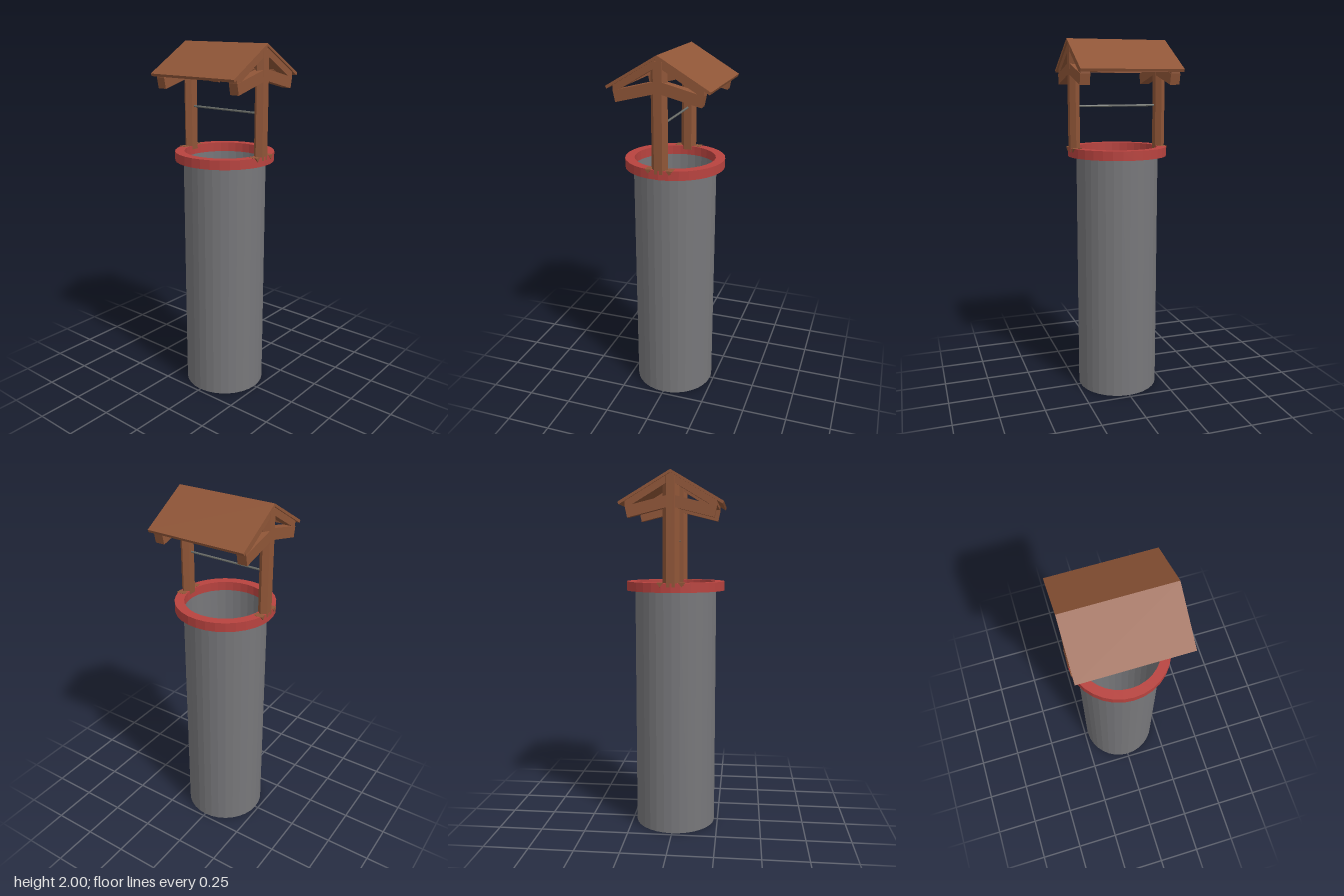
import * as THREE from 'three';

export function createModel() {
  const mat = (name, color, extra = {}) => {
    const m = new THREE.MeshStandardMaterial({ color, flatShading: true, ...extra });
    m.name = name;
    return m;
  };
  const wood = mat('brown wood', 0x8f5537);
  const stone = mat('grey stone', 0x77777a, { side: THREE.DoubleSide });
  const rim = mat('red rim', 0xb8433f);
  const metal = mat('dark metal', 0x6a6d68);

  const group = new THREE.Group();
  group.name = 'well';
  const add = (name, geometry, material) => {
    const mesh = new THREE.Mesh(geometry, material);
    mesh.name = name;
    group.add(mesh);
    return mesh;
  };

  // Side profile in (z, y), extruded along x and centred on cx
  const profile = (points, width, cx) => {
    const shape = new THREE.Shape(points.map(([z, y]) => new THREE.Vector2(z, y)));
    const g = new THREE.ExtrudeGeometry(shape, { depth: width, bevelEnabled: false });
    g.rotateY(-Math.PI / 2);
    g.translate(cx + width / 2, 0, 0);
    return g;
  };

  // Shaft: open tube with a closed floor
  const V = (x, y) => new THREE.Vector2(x, y);
  add('shaft', new THREE.LatheGeometry([V(0, 0), V(0.23, 0), V(0.23, 1.37)], 32), stone);

  // Rim ring around the mouth
  add('rim', new THREE.LatheGeometry(
    [V(0.225, 1.365), V(0.277, 1.365), V(0.277, 1.416), V(0.225, 1.416), V(0.225, 1.365)], 32), rim);

  // Roof: thin folded sheet
  add('roof', profile([
    [0, 2], [-0.277, 1.838], [-0.271, 1.824], [0, 1.985], [0.271, 1.824], [0.277, 1.838],
  ], 0.568, 0), wood);

  for (const side of [1, -1]) {
    const cx = side * 0.249;

    // Six-sided post, flat faces towards the sides
    const post = new THREE.CylinderGeometry(0.045, 0.045, 0.575, 6);
    post.scale(0.0275 / 0.039, 1, 1);
    add('post', post, wood).position.set(cx, 1.6825, 0);

    for (const end of [1, -1]) {
      const mirror = pts => pts.map(([z, y]) => [z * end, y]);
      // Sloping arm from post to eave
      add('arm', profile(mirror([
        [0, 1.814], [0.228, 1.757], [0.24, 1.815], [0, 1.875],
      ]), 0.054, cx), wood);
      // Rafter under the roof
      add('rafter', profile(mirror([
        [0, 1.945], [0.205, 1.823], [0.24, 1.815], [0.24, 1.844], [0, 1.986],
      ]), 0.05, cx), wood);
      // Small wedge at the foot of the post
      add('footWedge', profile(mirror([
        [0.04, 1.417], [0.058, 1.394], [0.076, 1.417],
      ]), 0.05, side * 0.25), wood);
    }
  }

  // Purlins along the eaves
  for (const end of [1, -1]) {
    add('purlin', new THREE.BoxGeometry(0.5, 0.026, 0.026), wood)
      .position.set(0, 1.836, end * 0.226);
  }

  // Crossbar between the posts
  const bar = new THREE.CylinderGeometry(0.006, 0.006, 0.46, 8);
  bar.rotateZ(Math.PI / 2);
  add('crossbar', bar, metal).position.y = 1.642;

  return group;
}
